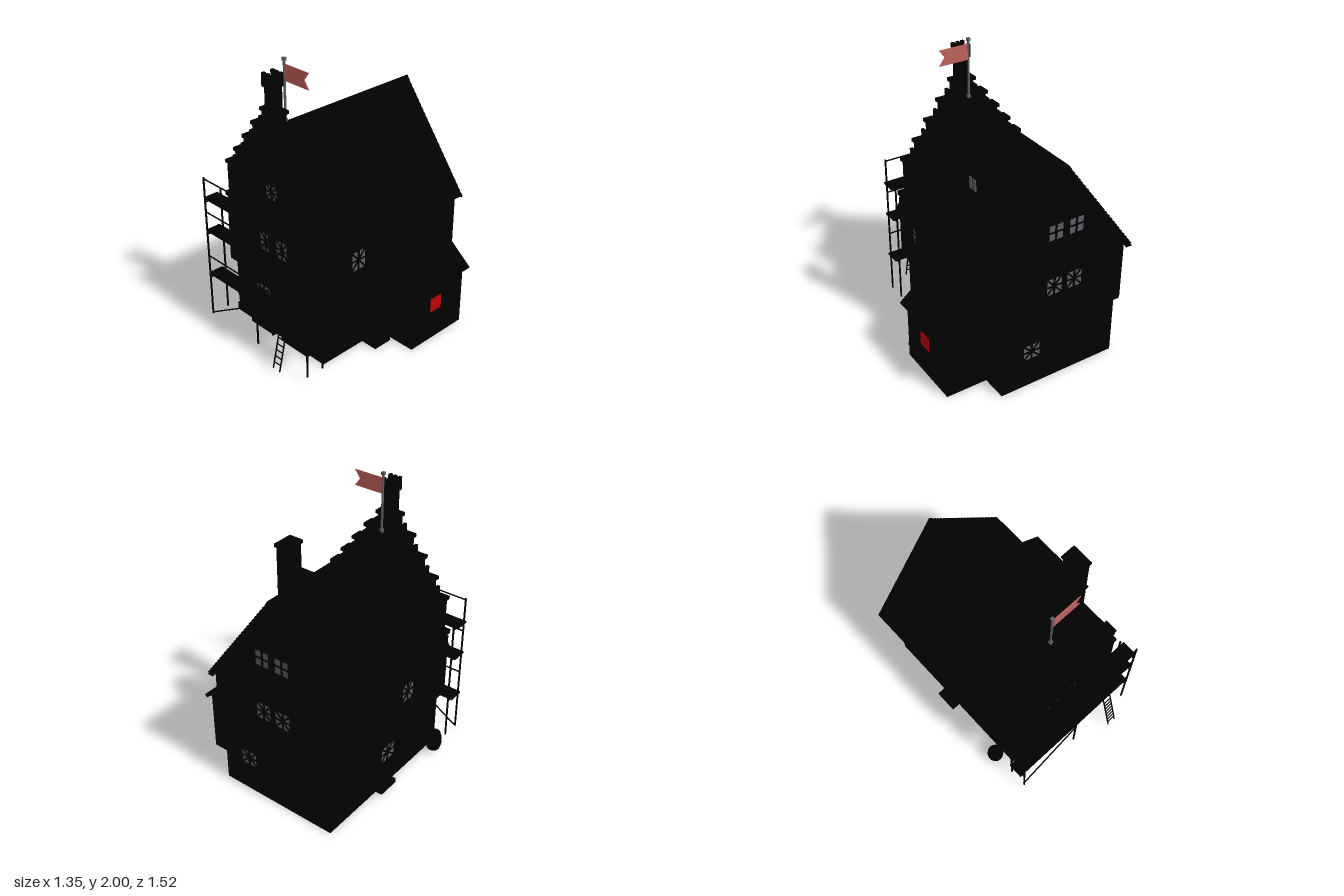
import * as THREE from 'three';

const mat = (name, color, double) => {
  const m = new THREE.MeshStandardMaterial({ color });
  m.name = name;
  if (double) m.side = THREE.DoubleSide;
  return m;
};

export function createModel() {
  const root = new THREE.Group();
  root.name = 'gabledHouse';
  const black = mat('soot black', 0x010101);
  const glassMat = mat('window grey', 0x5c5c63);
  const red = mat('bright red', 0xba0404);
  const cloth = mat('faded red', 0xc0625a, true);
  const metal = mat('pole grey', 0x5e5e64);
  const C = -0.115; // ridge line x

  const add = (name, geo, material = black, parent = root) => {
    const m = new THREE.Mesh(geo, material);
    m.name = name;
    parent.add(m);
    return m;
  };
  // box from its minimum and maximum corners
  const box = (name, x0, x1, y0, y1, z0, z1, material = black, parent = root) => {
    const m = add(name, new THREE.BoxGeometry(x1 - x0, y1 - y0, z1 - z0), material, parent);
    m.position.set((x0 + x1) / 2, (y0 + y1) / 2, (z0 + z1) / 2);
    return m;
  };
  // round rod between two points
  const rod = (name, a, b, r, material = black, parent = root) => {
    const p = new THREE.Vector3(...a), q = new THREE.Vector3(...b);
    const m = add(name, new THREE.CylinderGeometry(r, r, p.distanceTo(q), 8), material, parent);
    m.position.copy(p).add(q).multiplyScalar(0.5);
    m.quaternion.setFromUnitVectors(new THREE.Vector3(0, 1, 0), q.sub(p).normalize());
    return m;
  };
  const extrude = (pts, depth) => new THREE.ExtrudeGeometry(
    new THREE.Shape(pts.map(p => new THREE.Vector2(...p))), { depth, bevelEnabled: false });

  // walls: hollow ground floor without a base, jettied upper floor, attic
  box('groundWallLeft', -0.56, -0.54, 0, 0.43, -0.74, 0.465);
  box('groundWallRight', 0.31, 0.33, 0, 0.43, -0.74, 0.465);
  box('groundWallFront', -0.56, 0.33, 0, 0.43, 0.445, 0.465);
  box('groundWallBack', -0.56, 0.33, 0, 0.43, -0.74, -0.72);
  box('upperFloor', -0.605, 0.375, 0.43, 0.9, -0.745, 0.485);
  box('jettyBeam', -0.6, 0.37, 0.42, 0.45, -0.745, 0.49);
  box('eaveBeam', -0.61, 0.38, 0.92, 0.95, 0.41, 0.495);
  box('plinth', -0.56, 0.33, 0, 0.06, 0.46, 0.48);
  add('attic', extrude([[C - 0.49, 0.88], [C + 0.49, 0.88], [C, 1.545]], 1.15)).position.z = -0.74;

  // main roof: overlapping tile courses on each side
  const courses = 24;
  for (const s of [-1, 1]) {
    const pts = [[C, 1.585]];
    for (let i = 1; i <= courses; i++) {
      const t = i / courses, x = C + s * 0.545 * t, y = 1.58 - 0.735 * t;
      pts.push([x + s * 0.002, y + 0.002]);
      if (i < courses) pts.push([x - s * 0.001, y - 0.002]);
    }
    pts.push([C + s * 0.53, 0.83], [C, 1.53]);
    add('roofSlope', extrude(pts, 1.195)).position.z = -0.755;
    add('vergeBoard', extrude([[C, 1.56], [C + s * 0.545, 0.83], [C + s * 0.5, 0.83], [C, 1.5]], 0.01))
      .position.z = -0.762;
  }

  // stepped front gable: tiers with caps, thin posts and pilasters
  const gable = new THREE.Group();
  gable.name = 'steppedGable';
  root.add(gable);
  const G = -0.12;
  const steps = [[0.45, 1.19], [0.357, 1.31], [0.262, 1.435], [0.167, 1.56], [0.07, 1.685]];
  steps.forEach(([w, top], i) => {
    const bottom = i ? steps[i - 1][1] - 0.01 : 0.9;
    box('gableTier', G - w, G + w, bottom, top, 0.415, 0.485, black, gable);
    for (const s of [-1, 1]) {
      const part = (name, c, h, y0, y1, z0, z1) =>
        box(name, G + s * c - h, G + s * c + h, y0, y1, z0, z1, black, gable);
      part('stepCap', w - 0.028, 0.043, top - 0.015, top + 0.008, 0.405, 0.498);
      part('stepPost', w - 0.068, 0.01, top, top + 0.062, 0.42, 0.49);
      part('pilaster', w - 0.02, 0.018, i > 3 ? 1.2 : 0.95, top, 0.48, 0.495);
      if (i < 4) part('pilaster', w - 0.068, 0.01, 0.95, top, 0.48, 0.492);
    }
  });
  box('gablePillar', G - 0.04, G + 0.04, 1.68, 1.87, 0.415, 0.49, black, gable);
  box('pillarCap', G - 0.047, G + 0.047, 1.84, 1.88, 0.408, 0.505, black, gable);
  for (const x of [-0.036, 0, 0.036])
    for (const z of [0.42, 0.493])
      box('merlon', G + x - 0.011, G + x + 0.011, 1.87, 1.93, z - 0.011, z + 0.011, black, gable);

  // flag on its pole
  rod('flagPole', [G, 1.56, 0.36], [G, 1.99, 0.36], 0.008, metal);
  for (const y of [1.58, 1.98]) box('poleKnob', G - 0.011, G + 0.011, y, y + 0.02, 0.349, 0.371, metal);
  add('flag', extrude([[-0.115, 1.96], [0.1, 1.96], [0.06, 1.905], [0.1, 1.85], [-0.115, 1.85]], 0.006), cloth)
    .position.z = 0.357;

  // side chimney
  box('chimney', 0.362, 0.455, 0, 1.45, -0.03, 0.115);
  box('chimneyBase', 0.32, 0.455, 0, 0.9, -0.03, 0.115);
  box('chimneyCap', 0.352, 0.465, 1.44, 1.465, -0.04, 0.123);

  // dormer facing right
  const alongX = (name, pts, depth, x, z) => {
    const m = add(name, extrude(pts, depth).rotateY(Math.PI / 2));
    m.position.set(x, 0, z);
  };
  alongX('dormerWall', [[-0.09, 1.1], [0.09, 1.1], [0.09, 1.37], [0, 1.46], [-0.09, 1.37]], 0.22, -0.03, -0.19);
  alongX('dormerRoof', [[-0.12, 1.35], [-0.1, 1.345], [0, 1.455], [0.1, 1.345], [0.12, 1.35], [0, 1.48]], 0.25, -0.04, -0.19);

  // lean-to annex
  add('annexWalls', extrude([[0.32, 0], [0.63, 0], [0.63, 0.45], [0.32, 0.705]], 0.5)).position.z = -0.555;
  add('annexRoof', extrude([[0.37, 0.69], [0.47, 0.61], [0.672, 0.445], [0.655, 0.425], [0.37, 0.655]], 0.55)).position.z = -0.58;
  box('annexPlate', 0.625, 0.634, 0.22, 0.325, -0.335, -0.23, red);
  box('annexLatch', 0.63, 0.642, 0.1, 0.125, -0.1, -0.07);

  // windows: glass, frame and bars, turned to face their wall
  const win = (x, y, z, w, h, turn, diagonal = true) => {
    const g = new THREE.Group();
    g.name = 'window';
    g.position.set(x, y, z);
    g.rotation.y = turn;
    root.add(g);
    box('glass', -w / 2, w / 2, -h / 2, h / 2, 0, 0.008, glassMat, g);
    const t = 0.006, fx = w / 2 + t, fy = h / 2 + t;
    for (const s of [-1, 1]) {
      box('frameSide', s * fx - t, s * fx + t, -fy - t, fy + t, 0, 0.018, black, g);
      box('frameRail', -fx, fx, s * fy - t, s * fy + t, 0, 0.018, black, g);
      if (diagonal) box('diagonalBar', -Math.hypot(w, h) / 2, Math.hypot(w, h) / 2, -0.006, 0.006, 0.004, 0.012, black, g)
        .rotation.z = s * Math.atan2(h, w);
    }
    box('mullion', -0.007, 0.007, -h / 2, h / 2, 0, 0.014, black, g);
    box('transom', -w / 2, w / 2, -0.005, 0.005, 0, 0.014, black, g);
  };
  const R = Math.PI / 2;
  win(-0.265, 0.285, 0.465, 0.15, 0.12, 0);
  win(-0.198, 0.727, 0.485, 0.11, 0.145, 0);
  win(-0.038, 0.727, 0.485, 0.11, 0.145, 0);
  win(-0.12, 1.125, 0.485, 0.11, 0.105, 0);
  win(0.375, 0.727, 0.215, 0.125, 0.145, R);
  win(-0.605, 0.727, 0, 0.125, 0.145, -R);
  win(-0.56, 0.285, -0.14, 0.15, 0.13, -R);
  for (const x of [-0.2, -0.045]) {
    win(x, 0.745, -0.745, 0.12, 0.13, 2 * R);
    win(x, 1.145, -0.74, 0.11, 0.115, 2 * R, false);
  }
  win(0.11, 0.285, -0.74, 0.13, 0.12, 2 * R);
  // panes seen from inside the open ground floor
  win(-0.265, 0.285, 0.445, 0.15, 0.13, 2 * R, false);
  win(-0.54, 0.285, -0.1, 0.13, 0.13, R, false);
  for (const z of [-0.16, -0.205]) box('dormerPane', 0.19, 0.196, 1.235, 1.315, z - 0.015, z + 0.015, glassMat);
  box('backShutter', -0.19, -0.04, 0.22, 0.36, -0.755, -0.73);
  box('leftShutter', -0.617, -0.6, 0.65, 0.8, -0.4, -0.26);
  box('leftStep', -0.625, -0.55, 0.025, 0.06, -0.27, -0.11);

  // front door, bench, canopy and shield
  box('door', -0.02, 0.16, 0, 0.38, 0.46, 0.475);
  box('doorStep', -0.06, 0.2, 0, 0.04, 0.46, 0.505);
  box('bench', -0.38, -0.14, 0, 0.1, 0.46, 0.505);
  box('canopy', -0.065, 0.2, 0.44, 0.51, 0.46, 0.56);
  for (const x of [-0.05, 0.185]) rod('canopyBrace', [x, 0.35, 0.46], [x, 0.45, 0.54], 0.008);
  add('shield', extrude([[0.08, 0.61], [0.08, 0.56], [0.115, 0.53], [0.15, 0.56], [0.15, 0.61]], 0.008), cloth).position.z = 0.484;

  // barrel at the front left corner
  const barrel = [[0, 0], [0.045, 0], [0.056, 0.04], [0.058, 0.065], [0.056, 0.09], [0.045, 0.13], [0, 0.13]];
  add('barrel', new THREE.LatheGeometry(barrel.map(p => new THREE.Vector2(...p)), 16)).position.set(-0.622, 0.025, 0.36);

  // scaffold: posts, planks, rails, brace
  const scaffold = new THREE.Group();
  scaffold.name = 'scaffold';
  root.add(scaffold);
  for (const x of [-0.615, -0.12, 0.375]) {
    rod('outerPost', [x, 0.025, 0.662], [x, 1.11, 0.662], 0.007, black, scaffold);
    rod('innerPost', [x, 0.025, 0.53], [x, 0.975, 0.53], 0.007, black, scaffold);
    for (const y of [0.33, 0.675, 0.925]) rod('crossPole', [x, y, 0.525], [x, y, 0.665], 0.006, black, scaffold);
  }
  for (const y of [0.345, 0.69, 0.94]) {
    box('planks', -0.64, 0.4, y - 0.007, y + 0.007, 0.54, 0.65, black, scaffold);
    rod('rail', [-0.615, y + 0.16, 0.662], [0.375, y + 0.16, 0.662], 0.005, black, scaffold);
  }
  rod('brace', [-0.615, 0.03, 0.655], [-0.12, 0.33, 0.655], 0.005, black, scaffold);

  // ladder leaning on the lowest deck
  const ladder = new THREE.Group();
  ladder.name = 'ladder';
  root.add(ladder);
  for (const x of [0.147, 0.21]) rod('ladderRail', [x, 0.025, 0.757], [x, 0.42, 0.665], 0.005, black, ladder);
  for (let i = 1; i < 9; i++) {
    const t = i / 9, y = 0.025 + 0.395 * t, z = 0.757 - 0.092 * t;
    rod('rung', [0.147, y, z], [0.21, y, z], 0.004, black, ladder);
  }
  return root;
}
